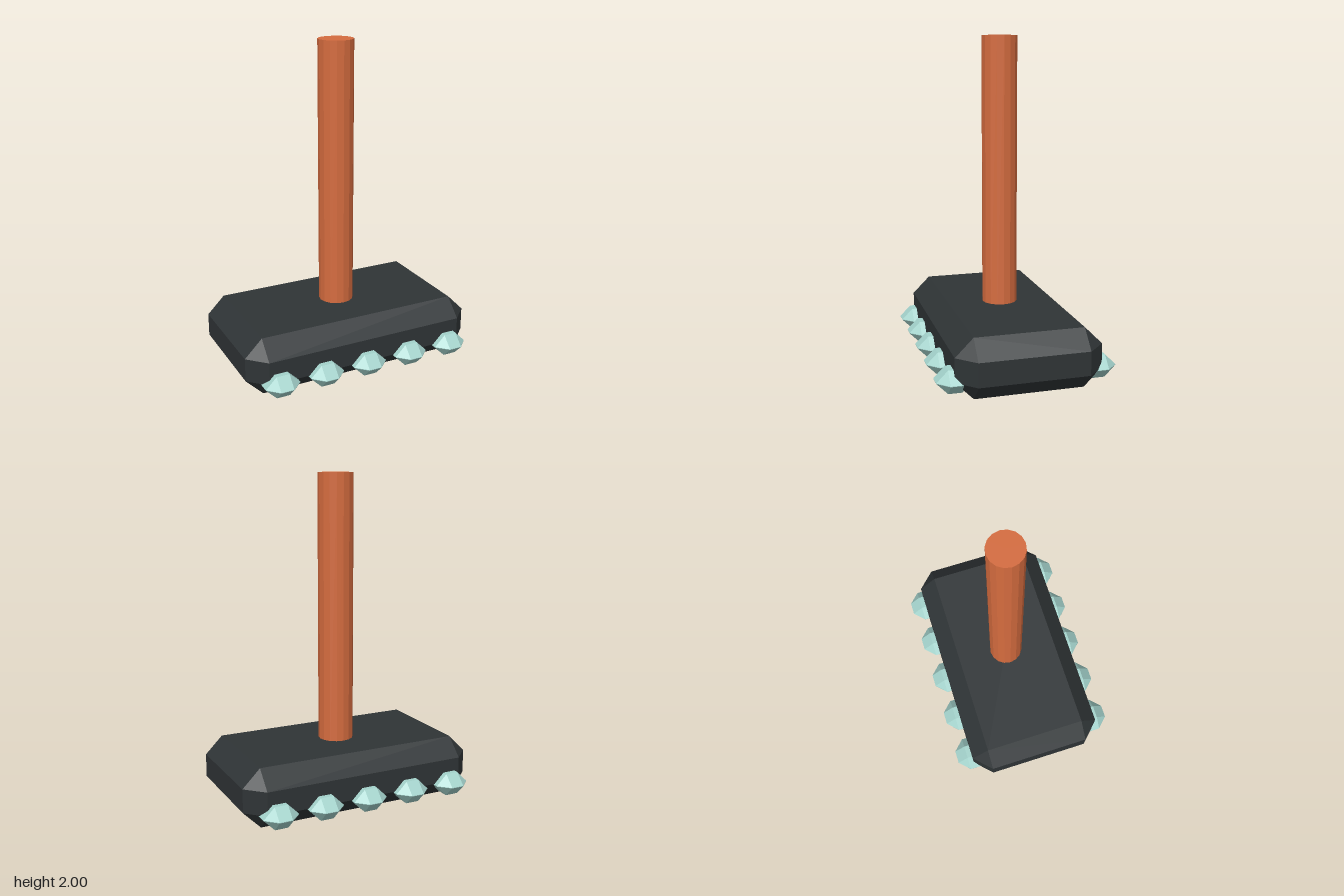
import * as THREE from 'three';
import { ConvexGeometry } from 'three/addons/geometries/ConvexGeometry.js';

// Box with every edge cut at 45 degrees; hx, hy, hz are half sizes, c the cut
function chamferedBox(hx, hy, hz, c) {
  const points = [];
  for (const sx of [-1, 1]) for (const sy of [-1, 1]) for (const sz of [-1, 1]) {
    points.push(
      new THREE.Vector3(sx * hx, sy * (hy - c), sz * (hz - c)),
      new THREE.Vector3(sx * (hx - c), sy * hy, sz * (hz - c)),
      new THREE.Vector3(sx * (hx - c), sy * (hy - c), sz * hz)
    );
  }
  return new ConvexGeometry(points);
}

function addPart(parent, name, geometry, material, x, y, z) {
  const mesh = new THREE.Mesh(geometry, material);
  mesh.name = name;
  mesh.position.set(x, y, z);
  parent.add(mesh);
  return mesh;
}

export function createModel() {
  const model = new THREE.Group();
  model.name = 'hammer';
  const material = (color) => new THREE.MeshStandardMaterial({ color, flatShading: true });
  const dark = material(0x2f3436);
  const copper = material(0xd56c3f);
  const teal = material(0xa3d2cb);

  // Heavy head lying on the ground
  addPart(model, 'head', chamferedBox(0.75, 0.18, 0.435, 0.108), dark, 0, 0.18, 0);

  // Upright handle, its foot sunk into the head
  addPart(model, 'handle', new THREE.CylinderGeometry(0.108, 0.108, 1.7, 16), copper, 0, 1.15, 0);

  // Row of five studs along the front and the back
  const studGeometry = chamferedBox(0.108, 0.069, 0.108, 0.0675);
  for (const side of [1, -1]) {
    const row = new THREE.Group();
    row.name = side > 0 ? 'frontStuds' : 'backStuds';
    for (let i = -2; i <= 2; i++) {
      addPart(row, 'stud', studGeometry, teal, i * 0.286, 0.103, side * 0.426);
    }
    model.add(row);
  }
  return model;
}
